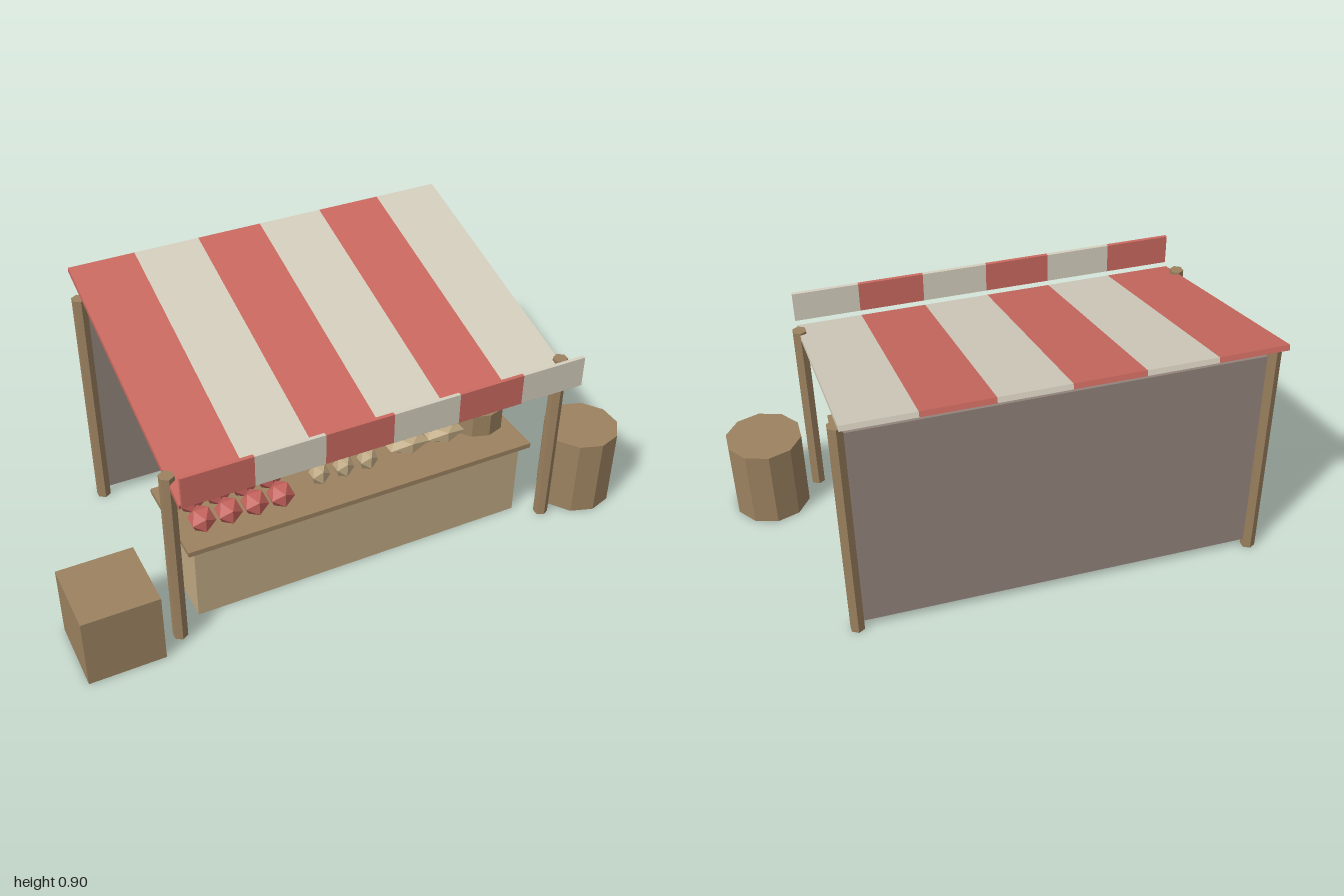
import * as THREE from 'three';

const mat = (name, color) => {
  const m = new THREE.MeshStandardMaterial({ color, flatShading: true });
  m.name = name;
  return m;
};

export function createModel() {
  const wood = mat('brown wood', 0x9c8260);
  const paleWood = mat('pale wood', 0xbfa883);
  const red = mat('canvas red', 0xcb6a60);
  const cream = mat('canvas cream', 0xd5cfbe);
  const cloth = mat('grey cloth', 0x92837b);
  const fruitRed = mat('fruit red', 0xc4625c);
  const leafGreen = mat('leaf green', 0x82b073);
  const tan = mat('bread tan', 0xbfa983);
  const dark = mat('dark glass', 0x5c5650);

  const model = new THREE.Group();
  model.name = 'marketStall';
  const add = (name, geometry, material, x, y, z, parent = model) => {
    const mesh = new THREE.Mesh(geometry, material);
    mesh.name = name;
    mesh.position.set(x, y, z);
    parent.add(mesh);
    return mesh;
  };
  const box = (w, h, d) => new THREE.BoxGeometry(w, h, d);
  const drum = (r, h, sides) => new THREE.CylinderGeometry(r, r, h, sides);
  const group = (name, x, y, z) => {
    const g = new THREE.Group();
    g.name = name;
    g.position.set(x, y, z);
    model.add(g);
    return g;
  };

  const cx = 0.014, halfWidth = 0.686, tableY = 0.305;

  // Counter
  add('counterBody', box(1.203, 0.287, 0.288), paleWood, cx, 0.1435, 0.176);
  add('counterTop', box(1.257, 0.018, 0.343), wood, cx, 0.296, 0.176);

  // Posts and back cloth
  for (const side of [-1, 1]) {
    add('frontPost', drum(0.025, 0.66, 6), wood, cx + side * halfWidth, 0.33, 0.375);
    add('backPost', drum(0.025, 0.83, 6), wood, cx + side * halfWidth, 0.415, -0.398);
  }
  add('backCloth', box(halfWidth * 2, 0.77, 0.01), cloth, cx, 0.415, -0.398);

  // Striped sloping canopy with a hanging front strip
  const canopy = group('canopy', cx, 0.749, -0.0115);
  canopy.rotation.x = 0.281;
  const valance = group('valance', cx, 0.683, 0.49);
  const stripe = (halfWidth * 2) / 6;
  for (let i = 0; i < 6; i++) {
    const x = (i - 2.5) * stripe;
    const colour = i % 2 ? cream : red;
    add('canopyStripe', box(stripe, 0.018, 1.0), colour, x, 0, 0, canopy);
    add('valanceStripe', box(stripe, 0.107, 0.013), colour, x, 0, 0, valance);
  }

  // Crate and barrel beside the stall
  add('crate', box(0.255, 0.255, 0.255), wood, -0.8725, 0.1275, 0.319);
  add('barrel', drum(0.1325, 0.287, 10), wood, 0.874, 0.1435, 0.319);

  // Red fruit in two rows
  const fruit = new THREE.IcosahedronGeometry(0.047, 0);
  for (let i = 0; i < 4; i++)
    for (const z of [0.257, 0.157])
      add('redFruit', fruit, fruitRed, -0.532 + i * 0.091, tableY + 0.04, z);

  // Onions in front of three small bottles
  const onion = new THREE.IcosahedronGeometry(0.037, 0).scale(1, 1.25, 1);
  const bottle = drum(0.02, 0.09, 6);
  [dark, leafGreen, fruitRed].forEach((colour, i) => {
    add('onion', onion, tan, -0.1 + i * 0.089, tableY + 0.039, 0.215);
    add('bottle', bottle, colour, -0.015 + i * 0.05, tableY + 0.045, 0.1);
  });

  // Loaves
  const loaf = new THREE.IcosahedronGeometry(1, 0).scale(0.088, 0.036, 0.05);
  for (const x of [0.243, 0.382]) add('loaf', loaf, tan, x, tableY + 0.032, 0.19);

  // Basket of greens
  add('basket', drum(0.1, 0.085, 10), wood, 0.53, 0.3595, 0.16);
  const green = new THREE.IcosahedronGeometry(0.035, 0);
  for (const x of [0.468, 0.543])
    for (const z of [0.188, 0.133]) add('greens', green, leafGreen, x, 0.422, z);

  return model;
}
